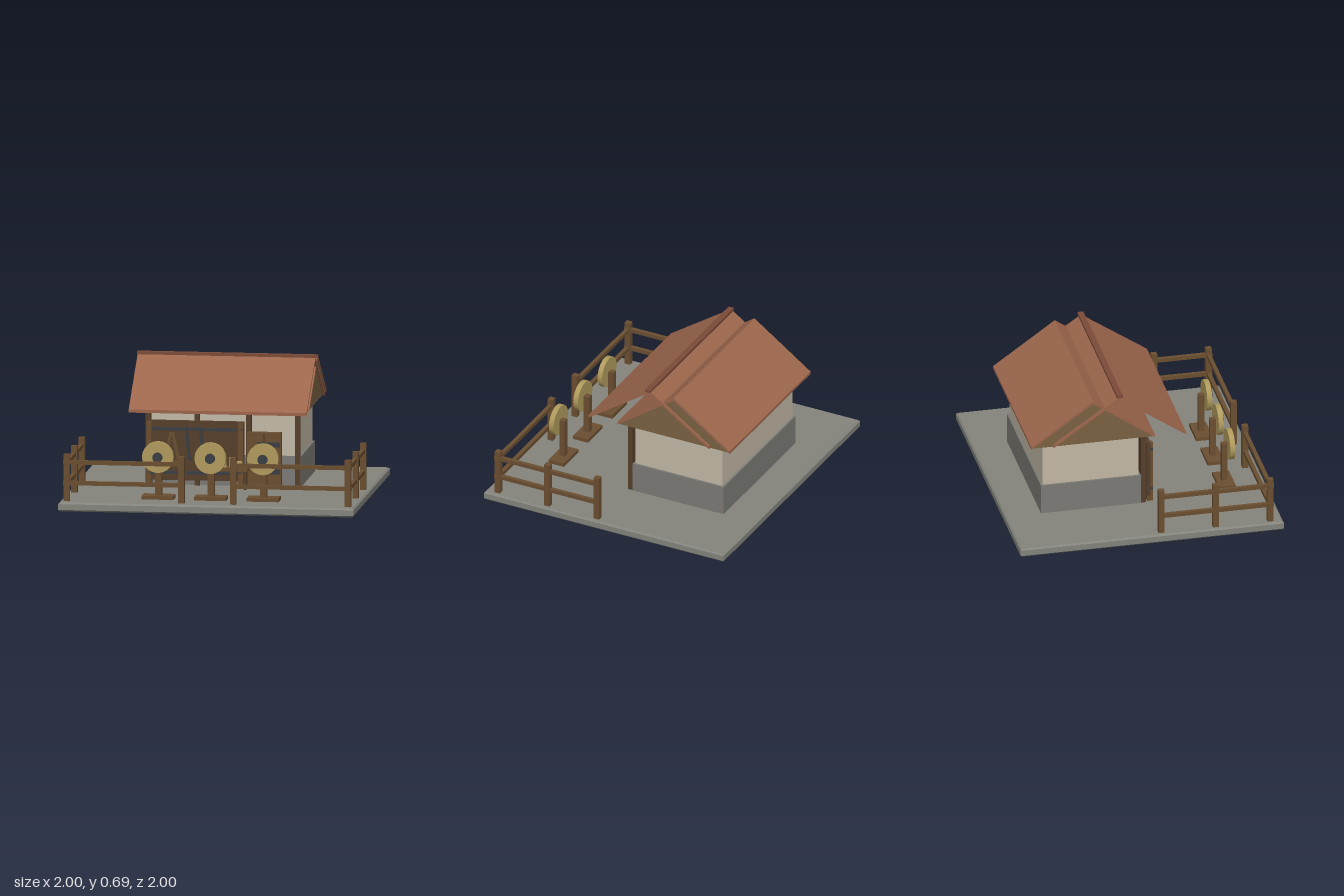
import * as THREE from 'three';

const mat = (name, color) => {
  const m = new THREE.MeshStandardMaterial({ color });
  m.name = name;
  return m;
};

export function createModel() {
  const M = {
    slab: mat('slab stone', 0x84847d),
    plinth: mat('plinth stone', 0x7b7a75),
    plaster: mat('plaster', 0xc2b8a5),
    roof: mat('roof tile', 0x9c664c),
    ridge: mat('ridge tile', 0x7c4a38),
    gable: mat('gable wood', 0x7a6143),
    wood: mat('timber', 0x6a4e30),
    dark: mat('dark timber', 0x553f2a),
    straw: mat('straw', 0xb09a5c),
    iron: mat('iron', 0x3a3d42),
  };
  const model = new THREE.Group();
  model.name = 'trainingYard';
  // the whole yard stands diagonally
  const yard = new THREE.Group();
  yard.name = 'yard';
  yard.rotation.y = Math.PI / 4;
  model.add(yard);

  const add = (name, geo, m, x = 0, y = 0, z = 0, parent = yard) => {
    const mesh = new THREE.Mesh(geo, m);
    mesh.name = name;
    mesh.position.set(x, y, z);
    parent.add(mesh);
    return mesh;
  };
  const box = (name, m, w, h, d, x, y, z, parent = yard) =>
    add(name, new THREE.BoxGeometry(w, h, d), m, x, y, z, parent);
  // extrude a (z, y) cross-section along x, centred
  const prism = (name, m, pts, length) => {
    const shape = new THREE.Shape(pts.map(([z, y]) => new THREE.Vector2(z, y)));
    const geo = new THREE.ExtrudeGeometry(shape, { depth: length, bevelEnabled: false });
    geo.rotateY(-Math.PI / 2).translate(length / 2, 0, 0);
    return add(name, geo, m);
  };

  // ground slab with a small chamfer
  const G = 0.045, bev = 0.008;
  const foot = new THREE.Shape();
  const hx = 0.742 - bev, hz = 0.672 - bev;
  foot.moveTo(-hx, -hz).lineTo(hx, -hz).lineTo(hx, hz).lineTo(-hx, hz).closePath();
  const slabGeo = new THREE.ExtrudeGeometry(foot, {
    depth: G - 2 * bev, bevelThickness: bev, bevelSize: bev, bevelSegments: 1,
  });
  slabGeo.rotateX(-Math.PI / 2);
  add('groundSlab', slabGeo, M.slab, 0, bev, 0);

  // house walls
  box('stonePlinth', M.plinth, 0.78, 0.155, 0.51, 0, G + 0.0775, -0.235);
  box('plasterWalls', M.plaster, 0.76, 0.25, 0.49, 0, 0.32, -0.235);

  // roofs: rear gable with solid ends, and an open front gable over it
  const roofPair = (name, ridgeZ, ridgeY, half, eaveY, length, t) => {
    for (const s of [-1, 1]) {
      const e = ridgeZ + s * half;
      prism(name + (s < 0 ? 'BackSlope' : 'FrontSlope'), M.roof,
        [[ridgeZ, ridgeY], [e, eaveY], [e, eaveY - t], [ridgeZ, ridgeY - t]], length);
    }
  };
  prism('gablePrism', M.gable, [[-0.54, 0.44], [0.07, 0.44], [-0.235, 0.659]], 0.872);
  roofPair('rearRoof', -0.235, 0.673, 0.315, 0.45, 0.88, 0.014);
  roofPair('frontRoof', -0.1, 0.686, 0.337, 0.453, 0.894, 0.016);
  box('ridgeCap', M.ridge, 0.91, 0.014, 0.03, 0.005, 0.688, -0.1);

  // timber posts and header beam across the front wall
  for (const x of [-0.375, -0.13, 0.13, 0.375])
    box('wallPost', M.dark, 0.026, 0.395, 0.026, x, G + 0.1975, 0.033);
  box('headerBeam', M.dark, 0.78, 0.024, 0.03, 0, 0.432, 0.035);

  // equipment rack
  const rack = new THREE.Group();
  rack.name = 'equipmentRack';
  yard.add(rack);
  box('rackBoard', M.dark, 0.49, 0.3, 0.02, -0.135, 0.225, 0.06, rack);
  for (const y of [0.115, 0.335])
    box('rackRail', M.iron, 0.49, 0.014, 0.014, -0.135, y, 0.078, rack);
  for (const x of [-0.365, 0.095])
    box('rackLeg', M.wood, 0.025, 0.325, 0.03, x, G + 0.1625, 0.07, rack);
  for (const s of [-1, 1]) {
    box('leaningPole', M.wood, 0.016, 0.24, 0.014, -0.25 + s * 0.03, 0.2, 0.085, rack)
      .rotation.z = s * 0.22;
    box('hangingBlade', M.iron, 0.014, 0.17, 0.01, -0.135 + s * 0.035, 0.265, 0.088, rack)
      .rotation.z = 0.1;
  }
  box('crossBar', M.wood, 0.09, 0.014, 0.014, -0.25, 0.17, 0.09, rack);

  // standing cabinet with iron straps
  box('cabinet', M.wood, 0.17, 0.28, 0.035, 0.212, G + 0.14, 0.065);
  for (const y of [0.13, 0.265])
    box('cabinetStrap', M.iron, 0.11, 0.025, 0.008, 0.235, y, 0.086);
  box('cabinetSeam', M.dark, 0.01, 0.27, 0.006, 0.212, G + 0.14, 0.084);

  // small bench with straw bundles
  box('benchTop', M.wood, 0.2, 0.018, 0.08, 0.04, 0.146, 0.115);
  for (const x of [-0.045, 0.125]) for (const z of [0.09, 0.14])
    box('benchLeg', M.dark, 0.016, 0.095, 0.016, x, G + 0.0475, z);
  [[-0.025, 0.024], [0.015, 0.034], [0.055, 0.046], [0.095, 0.03]].forEach(([x, h], i) =>
    add('strawBundle', new THREE.CylinderGeometry(0.015, 0.017, h, 8), M.straw,
      x, 0.155 + h / 2, 0.115 + (i % 2 ? 0.014 : -0.01)));

  // three practice targets
  for (const x of [-0.264, 0, 0.264]) {
    const target = new THREE.Group();
    target.name = 'practiceTarget';
    target.position.set(x, 0, 0.472);
    yard.add(target);
    box('targetFoot', M.wood, 0.16, 0.018, 0.085, 0, G + 0.009, 0, target);
    box('targetPost', M.wood, 0.032, 0.22, 0.03, 0, G + 0.11, 0, target);
    const disc = (name, r, depth, m, z) =>
      add(name, new THREE.CylinderGeometry(r, r, depth, 20).rotateX(Math.PI / 2),
        m, 0, 0.258, z, target);
    disc('targetDisc', 0.079, 0.026, M.straw, 0.028);
    disc('targetHub', 0.025, 0.016, M.iron, 0.046);
  }

  // fences, mirrored left and right
  const fenceY = [0.135, 0.24];
  for (const s of [-1, 1]) {
    const fence = new THREE.Group();
    fence.name = s < 0 ? 'rightFence' : 'leftFence';
    yard.add(fence);
    for (const [x, z] of [[0.13, 0.608], [0.707, 0.608], [0.707, 0.33], [0.707, 0.052]])
      box('fencePost', M.wood, 0.03, 0.235, 0.03, s * x, G + 0.1175, z, fence);
    for (const y of fenceY) {
      box('frontRail', M.wood, 0.605, 0.02, 0.02, s * 0.4235, y, 0.608, fence);
      box('sideRail', M.wood, 0.02, 0.02, 0.585, s * 0.707, y, 0.335, fence);
    }
  }
  return model;
}
